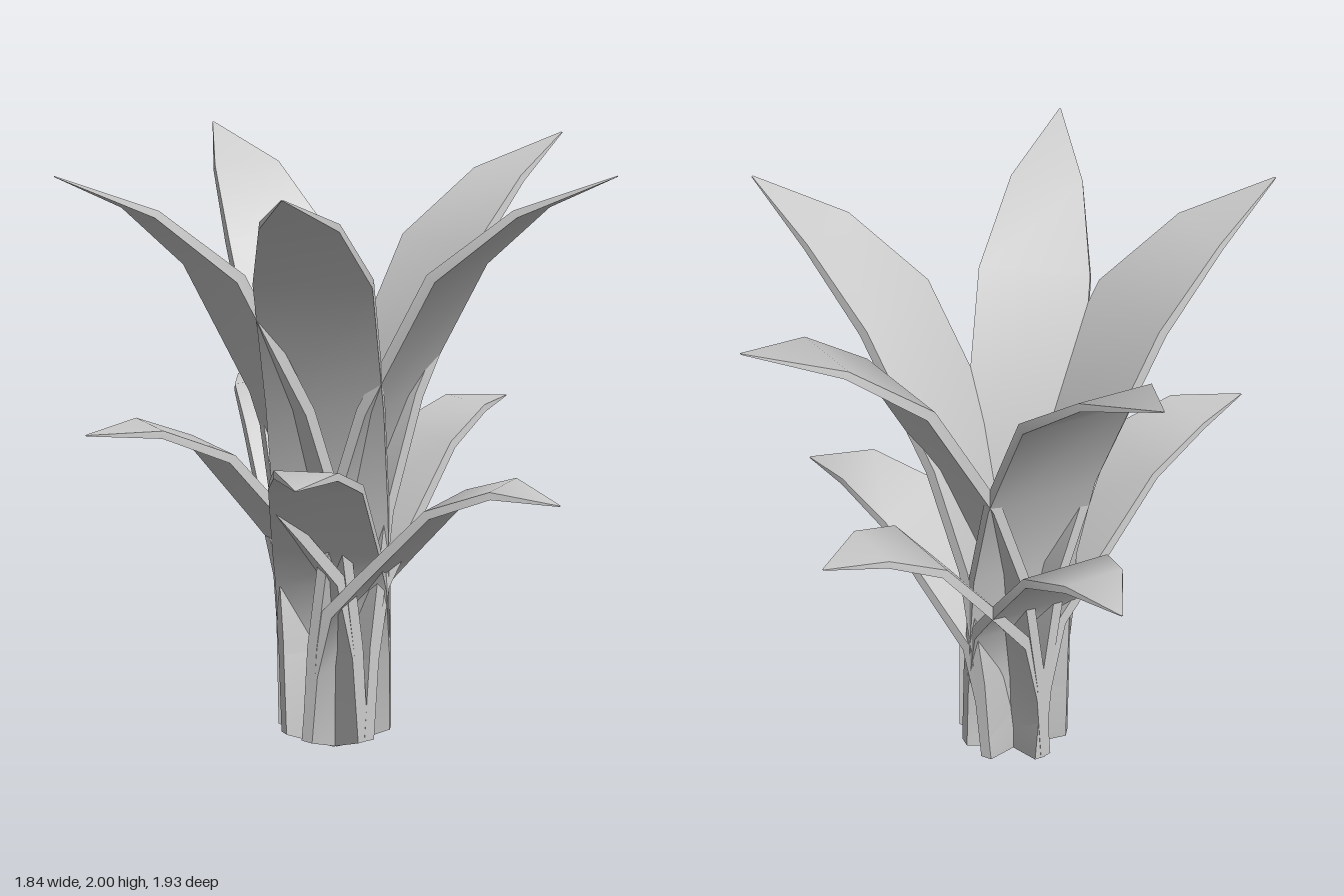
import * as THREE from 'three';
import { toCreasedNormals } from 'three/addons/utils/BufferGeometryUtils.js';

const CENTRE_X = 0.03;

// Rows run from root to tip: [distance out, height, half width, thickness]
const UPPER = [
  [0, 0, 0.02, 0.035], [0, 0.07, 0.19, 0.035], [0.02, 0.4, 0.19, 0.035],
  [0.08, 0.85, 0.19, 0.035], [0.2, 1.22, 0.19, 0.035], [0.44, 1.67, 0.185, 0.035],
  [0.69, 1.88, 0.12, 0.025], [0.97, 2, 0.003, 0.003],
];
const LOWER = [
  [0, 0, 0.02, 0.04], [0, 0.07, 0.19, 0.04], [0.02, 0.35, 0.19, 0.04],
  [0.07, 0.6, 0.185, 0.04], [0.19, 0.76, 0.175, 0.035], [0.4, 1.03, 0.15, 0.03],
  [0.59, 1.12, 0.1, 0.025], [0.78, 1.12, 0.003, 0.003],
];

// Sweeps a flat rectangular section along the leaf's curve
function leafGeometry(rows) {
  const pos = [], index = [];
  const last = rows.length - 1;
  rows.forEach(([r, y, w, t], i) => {
    const a = rows[Math.max(i - 1, 0)], b = rows[Math.min(i + 1, last)];
    const dr = b[0] - a[0], dy = b[1] - a[1], len = Math.hypot(dr, dy);
    const nz = (dy / len) * t / 2, ny = (-dr / len) * t / 2;
    for (const [sx, sn] of [[1, 1], [1, -1], [-1, -1], [-1, 1]]) {
      pos.push(sx * w, Math.max(0, y + sn * ny), r + sn * nz);
    }
  });
  for (let i = 0; i < last; i++) {
    for (let k = 0; k < 4; k++) {
      const a = i * 4 + k, b = i * 4 + (k + 1) % 4;
      index.push(a, b, b + 4, a, b + 4, a + 4);
    }
  }
  const e = last * 4;
  index.push(0, 3, 2, 0, 2, 1, e, e + 1, e + 2, e, e + 2, e + 3);
  const geo = new THREE.BufferGeometry();
  geo.setAttribute('position', new THREE.Float32BufferAttribute(pos, 3));
  geo.setIndex(index);
  return toCreasedNormals(geo, 0.7);
}

export function createModel() {
  const model = new THREE.Group();
  model.name = 'plant';
  const material = new THREE.MeshStandardMaterial({ color: 0xcccccc });

  function addLeaf(name, rows, dx, dz) {
    const leaf = new THREE.Mesh(leafGeometry(rows), material);
    leaf.name = name;
    leaf.position.x = CENTRE_X;
    leaf.rotation.y = Math.atan2(dx, dz);
    model.add(leaf);
  }

  // Each direction carries a tall leaf and a short one below it:
  // [dx, dz, short leaf reach, height factor, tip height]
  const directions = [
    [-0.12, 0.97, 0.89, 1.06, 1.19],
    [0.68, 0.7, 0.77, 0.98, 1.1],
    [0.89, -0.39, 0.81, 0.875, 0.95],
    [0, -0.97, 0.74, 0.99, 1.11],
    [-0.95, -0.18, 0.77, 1.01, 1.13],
  ];
  for (const [dx, dz, reach, height, tipY] of directions) {
    addLeaf('upperLeaf', UPPER, dx, dz);
    const rows = LOWER.map(([r, y, w, t], i) => [
      r * reach / 0.78,
      i < 2 ? y : i === LOWER.length - 1 ? tipY : y * height,
      w, t,
    ]);
    addLeaf('lowerLeaf', rows, dx, dz);
  }
  return model;
}
